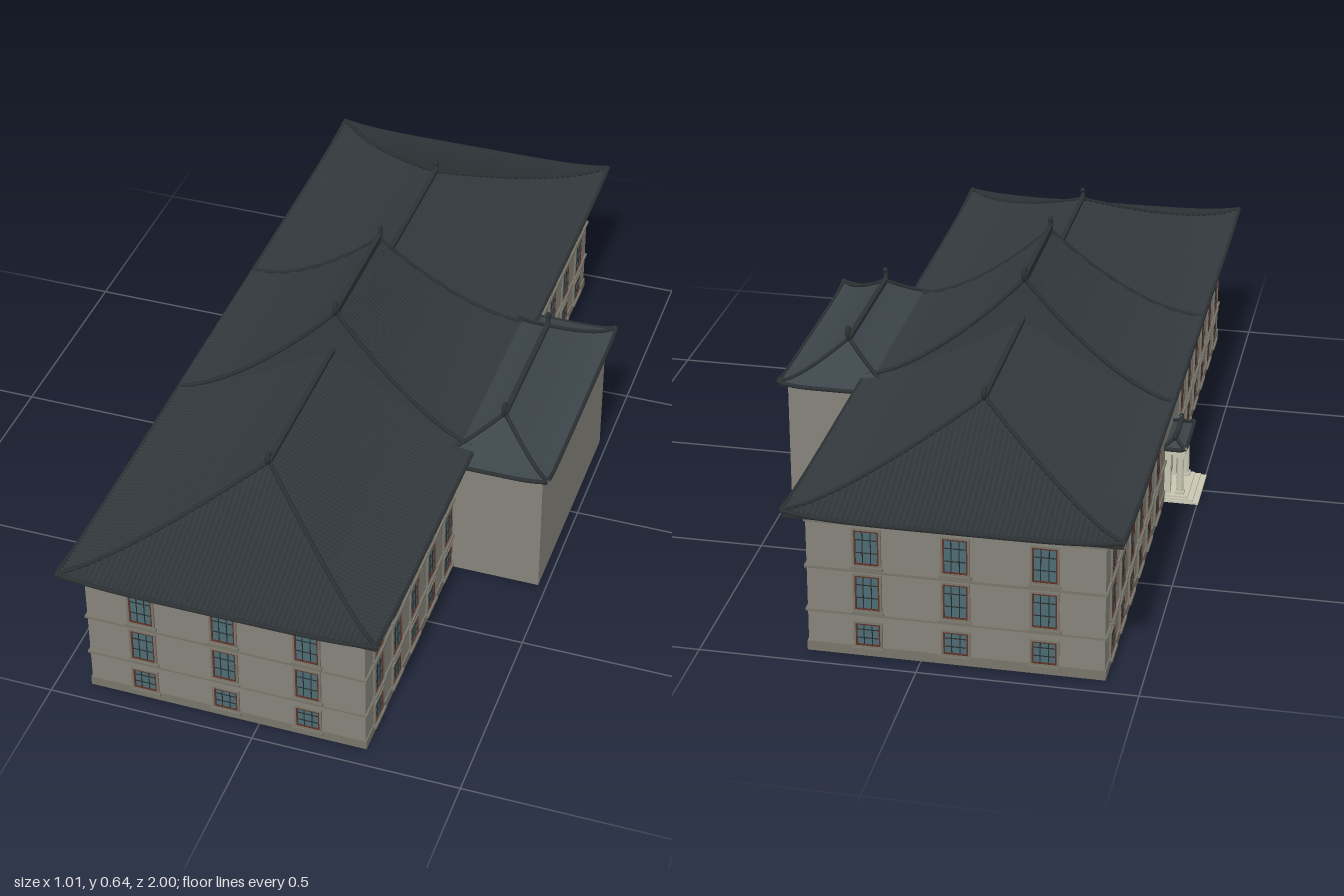
import * as THREE from 'three';
import { mergeGeometries } from 'three/addons/utils/BufferGeometryUtils.js';

const mat = (color, side = THREE.FrontSide) => new THREE.MeshStandardMaterial({ color, side });
const M = {
  wall: mat(0x85837a), trim: mat(0x78756a), stone: mat(0xc8c6b2), red: mat(0x5e3026),
  dark: mat(0x2a2c2c), glass: mat(0x4d6c74), tile: mat(0x30363a, THREE.DoubleSide),
  slate: mat(0x3c454a, THREE.DoubleSide), ridge: mat(0x2c3134),
};
const CX = -0.08; // centre line of the main block

function add(parent, name, geo, material, x = 0, y = 0, z = 0) {
  const m = new THREE.Mesh(geo, material);
  m.name = name;
  m.position.set(x, y, z);
  parent.add(m);
  return m;
}
// box given by its limits
function box(x0, x1, y0, y1, z0, z1) {
  return new THREE.BoxGeometry(x1 - x0, y1 - y0, z1 - z0)
    .translate((x0 + x1) / 2, (y0 + y1) / 2, (z0 + z1) / 2);
}

// Curved hip roof: ridge along z, concave slopes, upturned corners, optional tile ribs
function hipRoof(name, { hx, hz, r, y0, h, p, lift, pitch, material, beam, hook }) {
  const g = new THREE.Group();
  g.name = name;
  const height = (x, z) => {
    const t = Math.min(1, Math.max(Math.abs(x) / hx, (Math.abs(z) - r) / (hz - r), 0));
    return y0 + h * (1 - t) ** p + lift * (Math.abs(x) / hx) ** 5 * (Math.abs(z) / hz) ** 8;
  };
  // slopes
  const slope = (end, s) => {
    const pos = [], idx = [], NU = 32, NT = 20;
    for (let j = 0; j <= NT; j++) for (let i = 0; i <= NU; i++) {
      const t = j / NT, u = (i / NU) * 2 - 1;
      const zr = r + (hz - r) * t;
      const x = end ? u * hx * t : s * hx * t, z = end ? s * zr : u * zr;
      pos.push(x, height(x, z), z);
      if (i < NU && j < NT) {
        const a = j * (NU + 1) + i, b = a + 1, c = a + NU + 1, d = c + 1;
        if ((s > 0) === end) idx.push(a, c, b, b, c, d);
        else idx.push(a, b, c, b, d, c);
      }
    }
    const geo = new THREE.BufferGeometry();
    geo.setAttribute('position', new THREE.Float32BufferAttribute(pos, 3));
    geo.setIndex(idx);
    geo.computeVertexNormals();
    return geo;
  };
  for (const s of [-1, 1]) {
    add(g, 'sideSlope', slope(false, s), material);
    add(g, 'endSlope', slope(true, s), material);
  }
  // tile ribs running down each slope
  if (pitch) {
    const pos = [], w = pitch * 0.3, top = 0.0035, N = 10;
    const rib = (a, b, s, end) => {
      const at = (k, off, up) => {
        const m = s * (a[0] + (b - a[0]) * k), c = a[1] + off;
        const [x, z] = end ? [c, m] : [m, c];
        return [x, height(end ? a[1] : x, end ? z : a[1]) + up, z];
      };
      for (let i = 0; i < N; i++) {
        const k = i / N, l = (i + 1) / N;
        for (const d of [-w, w]) {
          const A = at(k, d, 0), B = at(l, d, 0), C = at(k, 0, top), D = at(l, 0, top);
          if ((d > 0) === ((s > 0) !== end)) pos.push(...A, ...C, ...B, ...B, ...C, ...D);
          else pos.push(...A, ...B, ...C, ...B, ...D, ...C);
        }
      }
    };
    for (const s of [-1, 1]) {
      for (let z = -hz + pitch; z < hz - pitch / 2; z += pitch)
        rib([hx * Math.max(0, (Math.abs(z) - r) / (hz - r)), z], hx, s, false);
      for (let x = -hx + pitch; x < hx - pitch / 2; x += pitch)
        rib([r + (hz - r) * Math.abs(x) / hx, x], hz, s, true);
    }
    const geo = new THREE.BufferGeometry();
    geo.setAttribute('position', new THREE.Float32BufferAttribute(pos, 3));
    geo.computeVertexNormals();
    add(g, 'tileRibs', geo, material);
  }
  // eave lip following the roof edge
  const rim = [];
  const sides = [[-1, -1], [1, -1], [1, 1], [-1, 1]];
  sides.forEach(([ax, az], k) => {
    const [bx, bz] = sides[(k + 1) % 4];
    const pts = [];
    for (let i = 0; i <= 24; i++) {
      const x = hx * (ax + (bx - ax) * i / 24), z = hz * (az + (bz - az) * i / 24);
      pts.push(new THREE.Vector3(x * 0.994, height(x, z) - 0.001, z * 0.997));
    }
    if (lift) rim.push(new THREE.TubeGeometry(new THREE.CatmullRomCurve3(pts), 40, 0.005, 6));
  });
  if (rim.length) add(g, 'eaveLip', mergeGeometries(rim), M.ridge);
  // ridge beam, hip ridges and hooked end ornaments
  add(g, 'ridgeBeam', box(-0.006, 0.006, y0 + h - 0.012, y0 + h + beam, -r, r), M.ridge);
  for (const sz of [-1, 1]) {
    for (const sx of [-1, 1]) {
      const pts = [];
      for (let i = 0; i <= 12; i++) {
        const x = sx * hx * i / 12 * 0.99, z = sz * (r + (hz - r) * i / 12 * 0.99);
        pts.push(new THREE.Vector3(x, height(x, z) + 0.002, z));
      }
      add(g, 'hipRidge', new THREE.TubeGeometry(new THREE.CatmullRomCurve3(pts), 24, 0.005, 6), M.ridge);
    }
    const curl = [[-0.012, 0], [0.006, 0.002], [0.012, 0.016], [0.006, 0.026], [-0.002, 0.022]]
      .map(([a, b]) => new THREE.Vector3(0, y0 + h + b * hook, sz * (r + a)));
    add(g, 'ridgeOrnament', new THREE.TubeGeometry(new THREE.CatmullRomCurve3(curl), 16, 0.006, 8), M.ridge);
  }
  return g;
}

// Window facing +z, centred at the origin
function windowParts(w, h) {
  const a = w / 2, b = h / 2, f = 0.005;
  const ring = (a, b, f, d) => [
    box(-a, -a + f, -b, b, 0, d), box(a - f, a, -b, b, 0, d),
    box(-a + f, a - f, b - f, b, 0, d), box(-a + f, a - f, -b, -b + f, 0, d)];
  const bars = [-1, 1].map(s => box(s * w / 6 - 0.001, s * w / 6 + 0.001, -b, b, 0, 0.003));
  for (const y of [b * 0.45, -b * 0.3]) bars.push(box(-a, a, y - 0.001, y + 0.001, 0, 0.003));
  return [
    ['windowSurround', mergeGeometries([...ring(a + f, b + f, f, 0.005),
      box(-a - 0.009, a + 0.009, -b - 0.011, -b - 0.004, 0, 0.009)]), M.trim],
    ['windowFrame', mergeGeometries(ring(a, b, 0.0035, 0.004)), M.red],
    ['windowBars', mergeGeometries(bars), M.dark],
    ['windowGlass', box(-a, a, -b, b, -0.002, 0.0015), M.glass],
  ];
}

export function createModel() {
  const root = new THREE.Group();
  root.name = 'hallBuilding';

  // main block with string courses and cornice
  add(root, 'mainWalls', box(-0.415, 0.258, 0, 0.334, -0.948, 0.948), M.wall);
  for (const [y0, y1, o] of [[0, 0.024, 0.003], [0.102, 0.107, 0.005], [0.211, 0.217, 0.005], [0.326, 0.331, 0.004], [0.334, 0.342, 0.009]])
    add(root, y0 > 0.33 ? 'cornice' : 'stringCourse',
      box(-0.415 - o, 0.258 + o, y0, y1, -0.948 - o, 0.948 + o), y0 > 0.33 ? M.dark : M.trim);

  // windows, three storeys on all four walls
  const floors = [[0.054, windowParts(0.056, 0.056)], [0.16, windowParts(0.056, 0.085)], [0.273, windowParts(0.056, 0.085)]];
  const place = (level, x, z, angle) => {
    const g = new THREE.Group();
    g.name = 'window';
    for (const [n, geo, m] of floors[level][1]) add(g, n, geo, m);
    g.position.set(x, floors[level][0], z);
    g.rotation.y = angle;
    root.add(g);
  };
  for (let level = 0; level < 3; level++) {
    for (const x of [-0.28, -0.08, 0.12]) {
      place(level, x, 0.948, 0);
      place(level, x, -0.948, Math.PI);
    }
    for (let i = 0; i < 7; i++) for (const s of [-1, 1]) {
      const z = s * (0.86 - i * 0.131);
      if (i < 5) place(level, 0.258, z, Math.PI / 2);
      if (i < 6 || level === 2) place(level, -0.415, z, -Math.PI / 2);
    }
  }

  // main roof and raised central roof
  const main = hipRoof('mainRoof', { hx: 0.382, hz: 1, r: 0.63, y0: 0.358, h: 0.152, p: 1.45, lift: 0.015, pitch: 0.0125, material: M.tile, beam: 0.008, hook: 1 });
  const centre = hipRoof('centralRoof', { hx: 0.378, hz: 0.26, r: 0.163, y0: 0.362, h: 0.243, p: 1.6, lift: 0, pitch: 0.0125, material: M.tile, beam: 0.014, hook: 1.15 });
  main.position.x = centre.position.x = CX;
  root.add(main, centre);
  add(root, 'soffit', box(-0.458, 0.298, 0.353, 0.356, -0.992, 0.992), M.dark);

  // plain wing with its own roof
  add(root, 'wingWalls', box(0.25, 0.48, 0, 0.327, -0.292, 0.292), M.wall);
  const wing = hipRoof('wingRoof', { hx: 0.147, hz: 0.32, r: 0.185, y0: 0.345, h: 0.077, p: 1.45, lift: 0.012, pitch: 0, material: M.slate, beam: 0.006, hook: 1.2 });
  wing.position.x = 0.353;
  root.add(wing);
  add(root, 'wingSoffit', box(0.21, 0.495, 0.34, 0.343, -0.315, 0.315), M.dark);

  // entrance porch
  const porch = new THREE.Group();
  porch.name = 'porch';
  root.add(porch);
  for (let i = 0; i < 3; i++)
    add(porch, 'step', box(-0.503 + i * 0.014, -0.41, i * 0.005, i * 0.005 + 0.005, -0.08 + i * 0.005, 0.08 - i * 0.005), M.stone);
  const shaft = new THREE.CylinderGeometry(0.008, 0.009, 0.108, 16);
  for (const s of [-1, 1]) {
    add(porch, 'column', shaft, M.stone, -0.453, 0.069, s * 0.052);
    for (const y of [0.019, 0.12])
      add(porch, 'columnBlock', new THREE.BoxGeometry(0.023, 0.008, 0.023), M.stone, -0.453, y, s * 0.052);
    add(porch, 'pilaster', box(-0.43, -0.41, 0.01, 0.126, s * 0.052 - 0.01, s * 0.052 + 0.01), M.stone);
  }
  add(porch, 'entablature', box(-0.466, -0.41, 0.124, 0.147, -0.065, 0.065), M.stone);
  add(porch, 'porchDoor', box(-0.42, -0.41, 0.015, 0.118, -0.035, 0.035), M.red);
  for (const s of [-1, 1])
    add(porch, 'doorPanel', box(-0.422, -0.41, 0.04, 0.11, s * 0.017 - 0.011, s * 0.017 + 0.011), M.glass);
  const porchRoof = hipRoof('porchRoof', { hx: 0.03, hz: 0.082, r: 0.05, y0: 0.148, h: 0.018, p: 1.4, lift: 0.006, pitch: 0, material: M.slate, beam: 0.003, hook: 0.4 });
  porchRoof.position.x = -0.438;
  porch.add(porchRoof);
  return root;
}
